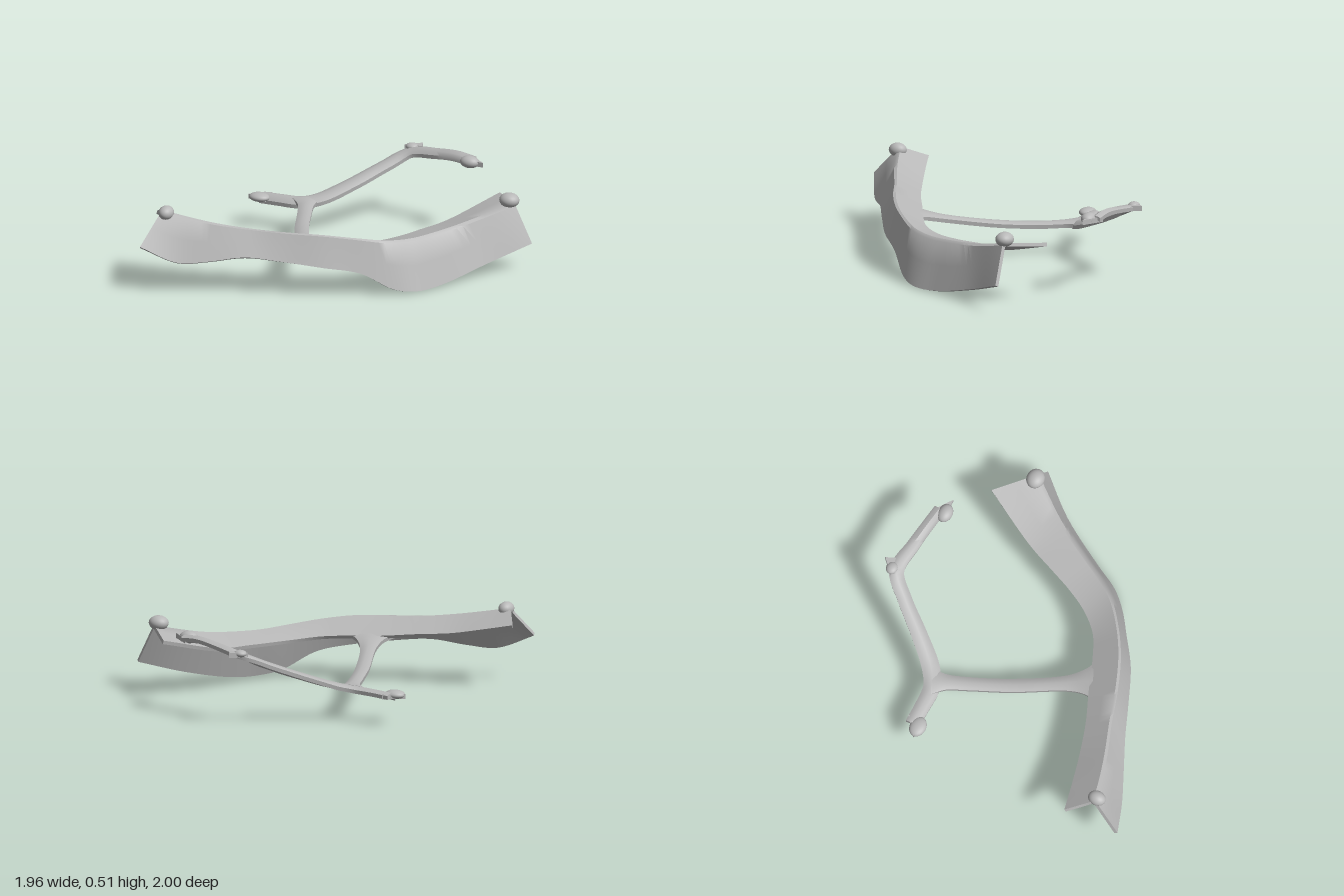
import * as THREE from 'three';
import { toCreasedNormals } from 'three/addons/utils/BufferGeometryUtils.js';

const V = (a) => new THREE.Vector3(...a);
const curve = (pts) => new THREE.CatmullRomCurve3(pts.map(V), false, 'centripetal');

// Shell between closed rings; each ring is an upper row followed by the lower row reversed
function shell(rings, crease) {
  const m = rings[0].length, last = (rings.length - 1) * m, idx = [];
  for (let i = 0; i < rings.length - 1; i++) {
    for (let j = 0; j < m; j++) {
      const a = i * m + j, d = i * m + (j + 1) % m, b = a + m, c = d + m;
      idx.push(a, d, c, a, c, b);
    }
  }
  for (let k = 0; k < m / 2 - 1; k++) {
    const q = [k, k + 1, m - 2 - k, m - 1 - k];
    idx.push(q[0], q[2], q[1], q[0], q[3], q[2]);
    idx.push(last + q[0], last + q[1], last + q[2], last + q[0], last + q[2], last + q[3]);
  }
  const g = new THREE.BufferGeometry().setFromPoints(rings.flat());
  g.setIndex(idx);
  return toCreasedNormals(g, crease);
}

// Angled guard: each station gives the inner edge, the crest and the lower edge
function guardGeometry() {
  const stations = [
    [[-0.98, 0.41, 0.67], [-0.87, 0.48, 0.82], [-0.93, 0.29, 1.0]],
    [[-0.8, 0.37, 0.63], [-0.72, 0.45, 0.785], [-0.72, 0.2, 0.925]],
    [[-0.6, 0.33, 0.58], [-0.55, 0.42, 0.735], [-0.55, 0.21, 0.85]],
    [[-0.4, 0.31, 0.52], [-0.35, 0.395, 0.665], [-0.35, 0.24, 0.76]],
    [[-0.2, 0.29, 0.44], [-0.15, 0.385, 0.605], [-0.15, 0.22, 0.68]],
    [[0, 0.28, 0.365], [0.05, 0.375, 0.525], [0.08, 0.185, 0.58]],
    [[0.14, 0.27, 0.295], [0.22, 0.35, 0.425], [0.27, 0.14, 0.455]],
    [[0.25, 0.26, 0.18], [0.38, 0.318, 0.295], [0.44, 0.03, 0.34]],
    [[0.33, 0.26, 0.04], [0.47, 0.305, 0.17], [0.54, 0.003, 0.24]],
    [[0.39, 0.265, -0.1], [0.55, 0.31, 0.03], [0.63, 0.01, 0.08]],
    [[0.47, 0.275, -0.29], [0.67, 0.335, -0.18], [0.79, 0.08, -0.2]],
    [[0.65, 0.37, -0.64], [0.855, 0.4, -0.43], [0.975, 0.165, -0.425]],
  ];
  const [inner, crest, lower] = [0, 1, 2].map((k) => curve(stations.map((s) => s[k])));
  const rings = [], n = 66, thick = 0.022;
  for (let i = 0; i <= n; i++) {
    const t = i / n, a = inner.getPoint(t), b = crest.getPoint(t), c = lower.getPoint(t);
    const tan = crest.getTangent(t);
    const row = [a, a.clone().lerp(b, 0.5), a.clone().lerp(b, 0.93), b.clone().lerp(c, 0.06),
      b.clone().lerp(c, 0.5), c];
    const back = row.map((p, k) => {
      const along = row[Math.min(k + 1, 5)].clone().sub(row[Math.max(k - 1, 0)]);
      return p.clone().addScaledVector(along.cross(tan).normalize(), -thick);
    });
    rings.push([...row, ...back.reverse()]);
  }
  return shell(rings, 0.7);
}

// Arm: a bent strip with a rolled-down edge; points are [x, y, z, width]
function armGeometry(points, drop) {
  const path = curve(points.map((p) => p.slice(0, 3)));
  const widths = curve(points.map((p) => [p[3], p[0], p[2]]));
  const rings = [], n = 48, up = new THREE.Vector3(0, 1, 0);
  for (let i = 0; i <= n; i++) {
    const t = i / n, p = path.getPoint(t), w = widths.getPoint(t).x / 2;
    const side = path.getTangent(t).cross(up).normalize();
    const at = (u, y) => p.clone().addScaledVector(side, u * w).addScaledVector(up, y);
    const us = [-1, -0.7, 0, 0.6, 1];
    const h = (u) => 0.012 - (u > 0 ? drop * u * u : 0.012 * u * u);
    rings.push([...us.map((u) => at(u, h(u))), ...us.map((u) => at(u * 0.95, h(u) - 0.024)).reverse()]);
  }
  return shell(rings, 0.7);
}

export function createModel() {
  const model = new THREE.Group();
  const grey = new THREE.MeshStandardMaterial({ color: 0xb8b8b8 });
  grey.name = 'plain grey';

  const add = (name, geometry, parent = model) => {
    const mesh = new THREE.Mesh(geometry, grey);
    mesh.name = name;
    parent.add(mesh);
    return mesh;
  };

  add('angledGuard', guardGeometry());
  add('mainArm', armGeometry([
    [-0.11, 0.3, 0.49, 0.36], [-0.15, 0.275, 0.4, 0.17], [-0.2, 0.25, 0.3, 0.1], [-0.35, 0.205, 0, 0.085],
    [-0.45, 0.195, -0.23, 0.085], [-0.505, 0.2, -0.36, 0.1], [-0.54, 0.205, -0.44, 0.17],
  ], 0.015));
  add('crossArm', armGeometry([
    [-0.83, 0.19, -0.425, 0.085], [-0.7, 0.195, -0.42, 0.09], [-0.57, 0.2, -0.425, 0.1],
    [-0.47, 0.22, -0.48, 0.11], [-0.33, 0.29, -0.63, 0.1], [-0.2, 0.37, -0.79, 0.09],
    [-0.08, 0.44, -0.905, 0.09], [0.1, 0.47, -0.885, 0.075], [0.25, 0.485, -0.862, 0.07],
    [0.37, 0.475, -0.845, 0.07],
  ], 0.032));

  // Rounded clips with a thin pointed tab
  const clips = [
    ['leftGuardClip', [0.82, 0.415, -0.43], [0.062, 0.044, 0.055], null],
    ['rightGuardClip', [-0.845, 0.465, 0.82], [0.045, 0.042, 0.055], null],
    ['rightArmClip', [-0.83, 0.185, -0.385], [0.065, 0.027, 0.05], [[-0.79, -0.47], [-0.9, -0.38], [-0.78, -0.36]]],
    ['leftArmClip', [0.365, 0.465, -0.805], [0.06, 0.037, 0.045], [[0.34, -0.885], [0.46, -0.797], [0.35, -0.8]]],
    ['rearClip', [-0.085, 0.45, -0.935], [0.04, 0.022, 0.035], [[-0.13, -0.92], [-0.045, -1.0], [-0.02, -0.94]]],
  ];
  for (const [name, pos, size, tab] of clips) {
    const clip = new THREE.Group();
    clip.name = name;
    model.add(clip);
    const dome = add('dome', new THREE.SphereGeometry(1, 24, 16), clip);
    dome.position.set(...pos);
    dome.scale.set(...size);
    if (!tab) continue;
    const shape = new THREE.Shape(tab.map(([x, z]) => new THREE.Vector2(x, -z)));
    const plate = add('tab', new THREE.ExtrudeGeometry(shape, { depth: 0.03, bevelEnabled: false }), clip);
    plate.rotation.x = -Math.PI / 2;
    plate.position.y = pos[1] - 0.02;
  }

  return model;
}
